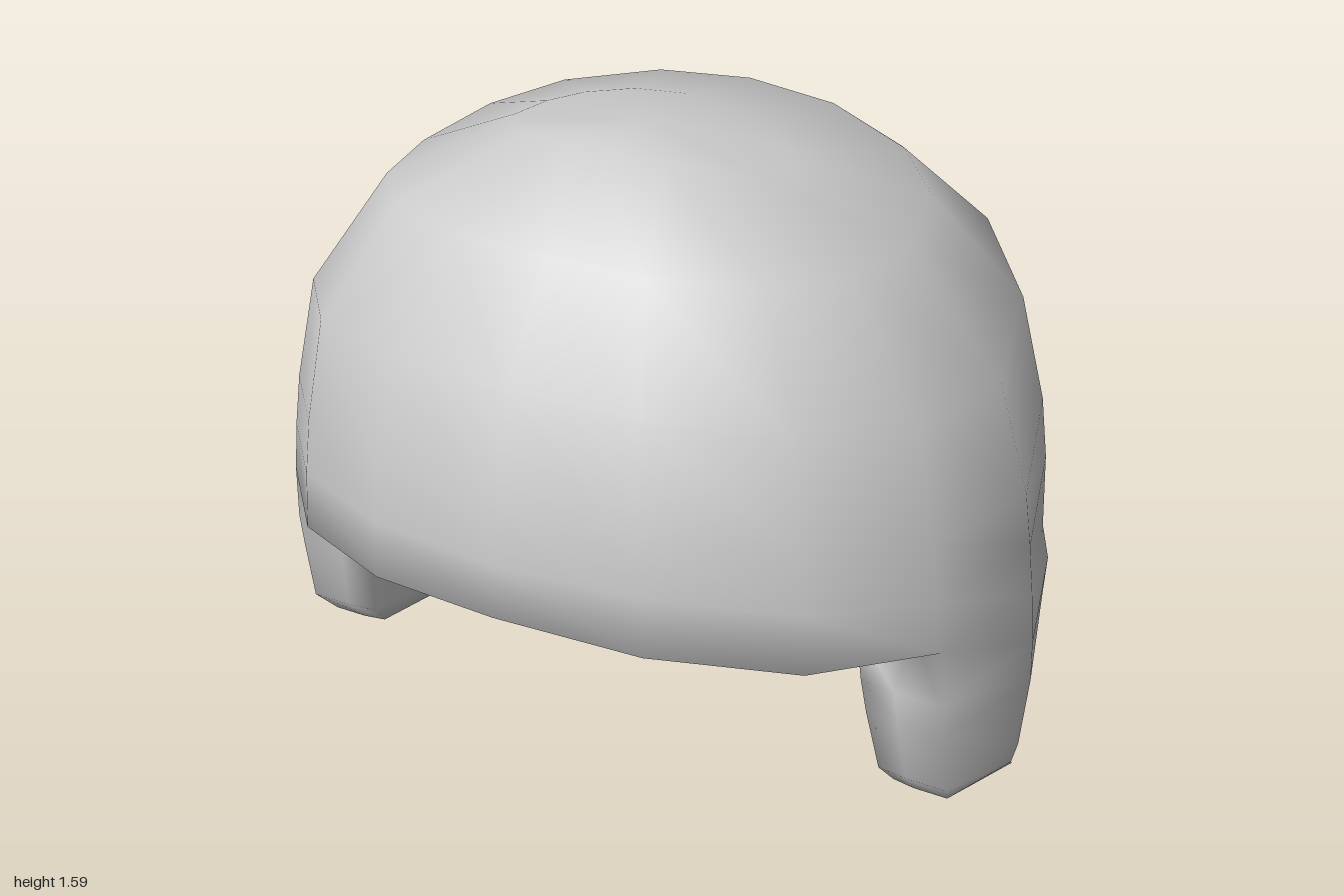
import * as THREE from 'three';
import { mergeVertices } from 'three/addons/utils/BufferGeometryUtils.js';

// Column angles around the head, from front (0) over the side to the back (180)
const HALF = [0, 21, 43, 65, 90, 117, 137, 159, 180];
const RIM_OUTER = [0.66, 0.63, 0.58, 0.55, 0.53, 0.485, 0.455, 0.43, 0.42];
const RIM_INNER = [0.64, 0.61, 0.56, 0.55, 0.56, 0.46, 0.432, 0.425, 0.425];
const COLUMNS = [...HALF.map((_, i) => i), 7, 6, 5, 4, 3, 2, 1];

// Each level: front z, front y, side x, side y, side z, back z, back y, diagonal bulge
const LEVELS = [
  [0.10, 1.585, 0, 1.585, 0.10, 0.10, 1.585, 0],
  [0.29, 1.585, 0.36, 1.53, 0.10, -0.08, 1.585, 0],
  [0.59, 1.45, 0.65, 1.39, 0.06, -0.43, 1.50, 0.05],
  [0.77, 1.20, 0.87, 1.08, 0.03, -0.71, 1.32, 0.03],
  [0.845, 0.95, 0.945, 0.80, 0.015, -0.83, 0.98, 0],
  [0.855, 0.80, 0.965, 0.66, 0.015, -0.85, 0.72, 0],
];
const RIM_LEVEL = [0.855, 0, 0.98, 0, 0.015, -0.81, 0, 0];
const LIP_LEVEL = [0.765, 0, 0.885, 0, 0.01, -0.735, 0, 0];

function shellRing([fz, fy, sx, sy, sz, bz, by, bulge], rim) {
  return COLUMNS.map((k, i) => {
    const a = THREE.MathUtils.degToRad(HALF[k]);
    const s = Math.sin(a), c = Math.cos(a);
    const [z, top] = c > 0 ? [fz, fy] : [bz, by];
    const grow = 1 + bulge * Math.sin(2 * a) ** 2;
    const y = rim ? rim[k] : sy * s * s + top * c * c;
    return [(i > 8 ? -1 : 1) * sx * s * grow, y, sz + Math.abs(c) * (z - sz) * grow];
  });
}

// Flap levels: y, front z, back z, inner x, edge x, outer x
const FLAP = [
  [0.40, 0.362, -0.35, 0.66, 0.897, 0.995],
  [0.30, 0.345, -0.32, 0.67, 0.90, 1.0],
  [0.12, 0.31, -0.24, 0.695, 0.905, 0.99],
  [0.045, 0.245, -0.21, 0.71, 0.885, 0.97],
  [0, 0.06, -0.13, 0.72, 0.88, 0.955],
];

// Cross-section with softened inner corners
function flapRing([y, zf, zb, xi, xe, xo]) {
  const zm = (zf + zb) / 2 + 0.02, xm = (xi + xe) / 2;
  return [
    [xi + 0.03, y, zf - 0.01], [xm, y, zf], [xe, y, zf], [xo, y, zm],
    [xe, y, zb], [xm, y, zb], [xi + 0.025, y, zb + 0.01], [xi, y, zm],
  ];
}

// Quads between stacked closed rings; leaveOut(r, i) omits single quads
function skin(rings, leaveOut = () => false) {
  const quads = [], n = rings[0].length;
  for (let r = 0; r < rings.length - 1; r++) {
    for (let i = 0; i < n; i++) {
      const j = (i + 1) % n;
      if (!leaveOut(r, i)) quads.push([rings[r][i], rings[r + 1][i], rings[r + 1][j], rings[r][j]]);
    }
  }
  return quads;
}

const mirror = quads => quads.map(q => q.map(([x, y, z]) => [-x, y, z]).reverse());

function smoothGeometry(quads) {
  const g = new THREE.BufferGeometry();
  const corners = quads.flatMap(([a, b, c, d]) => [a, b, c, a, c, d]);
  g.setAttribute('position', new THREE.Float32BufferAttribute(corners.flat(), 3));
  const merged = mergeVertices(g, 1e-4);
  merged.computeVertexNormals();
  return merged;
}

export function createModel() {
  // Dome: outer skin down to the rim, a thick lip, then the lining back up
  const inset = ring => ring.map(([x, y, z]) =>
    [x * 0.925, y - 0.045 * Math.max(0, (y - 0.6) / 0.985), z * 0.93]);
  const levels = LEVELS.map(level => shellRing(level));
  const rimOuter = shellRing(RIM_LEVEL, RIM_OUTER);
  const rimInner = shellRing(LIP_LEVEL, RIM_INNER);
  const rings = [...levels, rimOuter, rimInner, ...levels.map(inset).reverse()];
  // The rim stays open where the flaps grow out of it
  const dome = skin(rings, (r, i) => r === levels.length && [3, 4, 11, 12].includes(i));

  // Flap: starts on the rim columns and closes at the bottom
  const front = [0.67, 0.55, 0.35], middle = [0.655, 0.555, 0.01], back = [0.675, 0.53, -0.36];
  const top = [front, rimInner[3], rimOuter[3], rimOuter[4], rimOuter[5], rimInner[5], back, middle];
  const flap = skin([top, ...FLAP.map(flapRing), top.map(() => [0.83, 0, -0.03])]);
  // Ledge between the lining and the top of the flap
  flap.push([front, rimInner[3], rimInner[4], middle], [middle, rimInner[4], rimInner[5], back]);

  const grey = new THREE.MeshStandardMaterial({ color: 0xcccccc });
  grey.name = 'plain grey';
  const group = new THREE.Group();
  group.name = 'earFlapCap';
  // One seamless skin so the flaps blend into the dome
  const cap = new THREE.Mesh(smoothGeometry([...dome, ...flap, ...mirror(flap)]), grey);
  cap.name = 'capWithEarFlaps';
  group.add(cap);
  return group;
}
